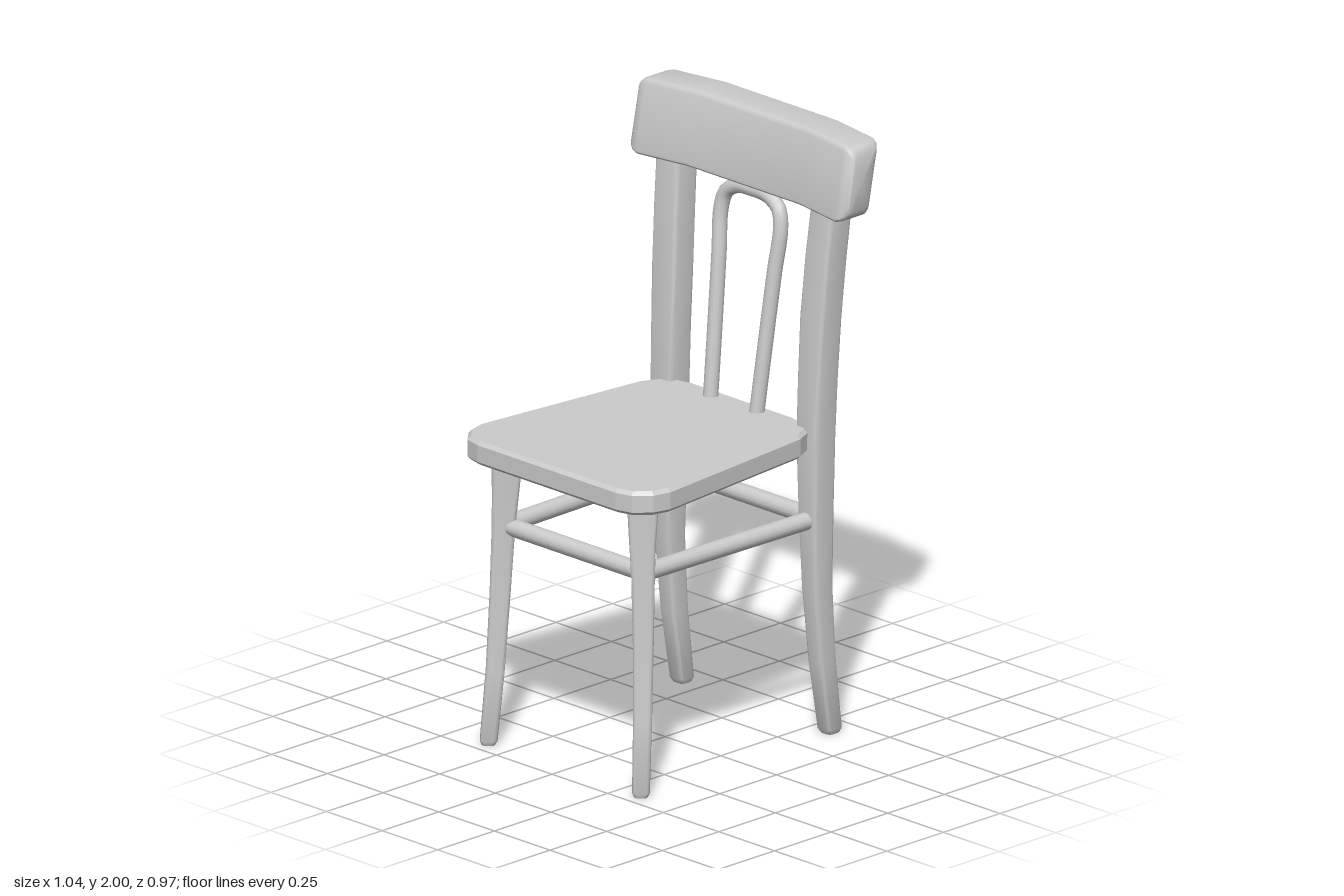
import * as THREE from 'three';
import { toCreasedNormals } from 'three/addons/utils/BufferGeometryUtils.js';

const material = new THREE.MeshStandardMaterial({ color: 0xcccccc });

function addMesh(parent, name, geometry) {
  const mesh = new THREE.Mesh(geometry, material);
  mesh.name = name;
  parent.add(mesh);
}

// Rounded rectangle outline, counter-clockwise, optionally turned
function roundedRect(halfU, halfV, radius, turn = 0) {
  const points = [];
  const origin = new THREE.Vector2();
  for (let q = 0; q < 4; q++) {
    const su = q === 0 || q === 3 ? 1 : -1;
    const sv = q < 2 ? 1 : -1;
    for (let k = 0; k < 4; k++) {
      const a = (q + k / 3) * Math.PI / 2;
      points.push(new THREE.Vector2(
        su * (halfU - radius) + radius * Math.cos(a),
        sv * (halfV - radius) + radius * Math.sin(a)
      ).rotateAround(origin, turn));
    }
  }
  return points;
}

// Closed skin over rings with equal point counts
function loft(rings) {
  const n = rings[0].length, last = rings.length - 1;
  const positions = [], index = [];
  const push = (v) => positions.push(v.x, v.y, v.z) / 3 - 1;
  rings.forEach((ring) => ring.forEach(push));
  for (let r = 0; r < last; r++) {
    for (let i = 0; i < n; i++) {
      const a = r * n + i, b = r * n + (i + 1) % n;
      index.push(a, b, b + n, a, b + n, a + n);
    }
  }
  for (const r of [0, last]) {
    const centre = new THREE.Vector3();
    rings[r].forEach((v) => centre.addScaledVector(v, 1 / n));
    const c = push(centre);
    for (let i = 0; i < n; i++) {
      const a = r * n + i, b = r * n + (i + 1) % n;
      if (r === 0) index.push(c, b, a);
      else index.push(c, a, b);
    }
  }
  const geometry = new THREE.BufferGeometry();
  geometry.setAttribute('position', new THREE.Float32BufferAttribute(positions, 3));
  geometry.setIndex(index);
  return toCreasedNormals(geometry, 0.6);
}

// Leg stations, top to bottom: [y, x, z, half width x, half width z]
function leg(stations, side, turn) {
  return loft(stations.map(([y, x, z, hx, hz]) =>
    roundedRect(hx, hz, 0.012, turn).map((p) => new THREE.Vector3(x + p.x, y, side * z + p.y))));
}

function rod(from, to, radius) {
  return new THREE.TubeGeometry(new THREE.LineCurve3(from, to), 1, radius, 12);
}

export function createModel() {
  const chair = new THREE.Group();
  chair.name = 'chair';

  // Seat: tapered board with cut corners and a bevelled rim
  const half = [[-0.525, 0.31], [-0.51, 0.37], [-0.46, 0.415], [-0.4, 0.43],
    [0.24, 0.364], [0.3, 0.335], [0.335, 0.29], [0.35, 0.23]];
  const outline = [...half, ...half.map(([x, z]) => [x, -z]).reverse()];
  const seat = new THREE.ExtrudeGeometry(
    new THREE.Shape(outline.map(([x, z]) => new THREE.Vector2(x, z))),
    { depth: 0.056, bevelThickness: 0.012, bevelSize: 0.012, bevelOffset: -0.012, bevelSegments: 1 });
  seat.rotateX(Math.PI / 2).translate(0, 1.028, 0);
  addMesh(chair, 'seat', seat);

  // Legs: the front pair is turned diagonally, the back pair runs up to the top rail
  const frontStations = [
    [0.97, -0.398, 0.305, 0.05, 0.05], [0.85, -0.402, 0.308, 0.043, 0.043],
    [0.72, -0.406, 0.314, 0.037, 0.037], [0.5, -0.413, 0.322, 0.033, 0.033],
    [0.25, -0.425, 0.331, 0.03, 0.03], [0.015, -0.443, 0.342, 0.028, 0.028],
    [0, -0.444, 0.343, 0.021, 0.021]];
  const backStations = [
    [1.86, 0.403, 0.35, 0.047, 0.05], [1.76, 0.392, 0.347, 0.047, 0.051],
    [1.6, 0.376, 0.34, 0.047, 0.052], [1.4, 0.36, 0.333, 0.046, 0.053],
    [1.2, 0.35, 0.33, 0.046, 0.05], [1, 0.343, 0.328, 0.047, 0.047],
    [0.75, 0.343, 0.329, 0.045, 0.04], [0.5, 0.346, 0.331, 0.04, 0.035],
    [0.25, 0.367, 0.332, 0.036, 0.032], [0.015, 0.4, 0.332, 0.031, 0.03],
    [0, 0.402, 0.332, 0.024, 0.023]];
  for (const side of [1, -1]) {
    const label = side > 0 ? 'left' : 'right';
    addMesh(chair, `${label} front leg`, leg(frontStations, side, Math.PI / 4));
    addMesh(chair, `${label} back leg`, leg(backStations, side, 0));
  }

  // Top rail: leaning section swept across, ends bent forward and rounded
  const railEnd = [[0.487, 0.035], [0.478, 0.017], [0.465, 0.006], [0.445, 0], [0.25, 0]];
  const railStations = [...railEnd.map(([z, inset]) => [-z, inset]), ...railEnd.slice().reverse()];
  addMesh(chair, 'top rail', loft(railStations.map(([z, inset]) => {
    const bend = 0.04 * Math.max(0, Math.abs(z) - 0.25) / 0.235;
    return roundedRect(0.067 - inset * 0.7, 0.122 - inset, 0.016).map((p) =>
      new THREE.Vector3(0.43 - bend + p.x + p.y * 0.2, 1.878 + p.y, z));
  })));

  // Bent hoop in the backrest
  const hoopHalf = [[0.103, 1.02], [0.113, 1.25], [0.125, 1.5], [0.134, 1.64], [0.118, 1.7], [0.07, 1.73]];
  const hoopPath = [...hoopHalf, [0, 1.735], ...hoopHalf.map(([z, y]) => [-z, y]).reverse()]
    .map(([z, y]) => new THREE.Vector3(0.303 + (y - 1.04) * 0.125, y, z));
  addMesh(chair, 'back hoop',
    new THREE.TubeGeometry(new THREE.CatmullRomCurve3(hoopPath), 64, 0.025, 12));

  // Stretchers joining the four legs
  const y = 0.73;
  const front = (s) => new THREE.Vector3(-0.4, y, s * 0.312);
  const back = (s) => new THREE.Vector3(0.343, y, s * 0.328);
  addMesh(chair, 'front stretcher', rod(front(1), front(-1), 0.029));
  addMesh(chair, 'back stretcher', rod(back(1), back(-1), 0.029));
  addMesh(chair, 'left stretcher', rod(front(1), back(1), 0.029));
  addMesh(chair, 'right stretcher', rod(front(-1), back(-1), 0.029));

  return chair;
}
